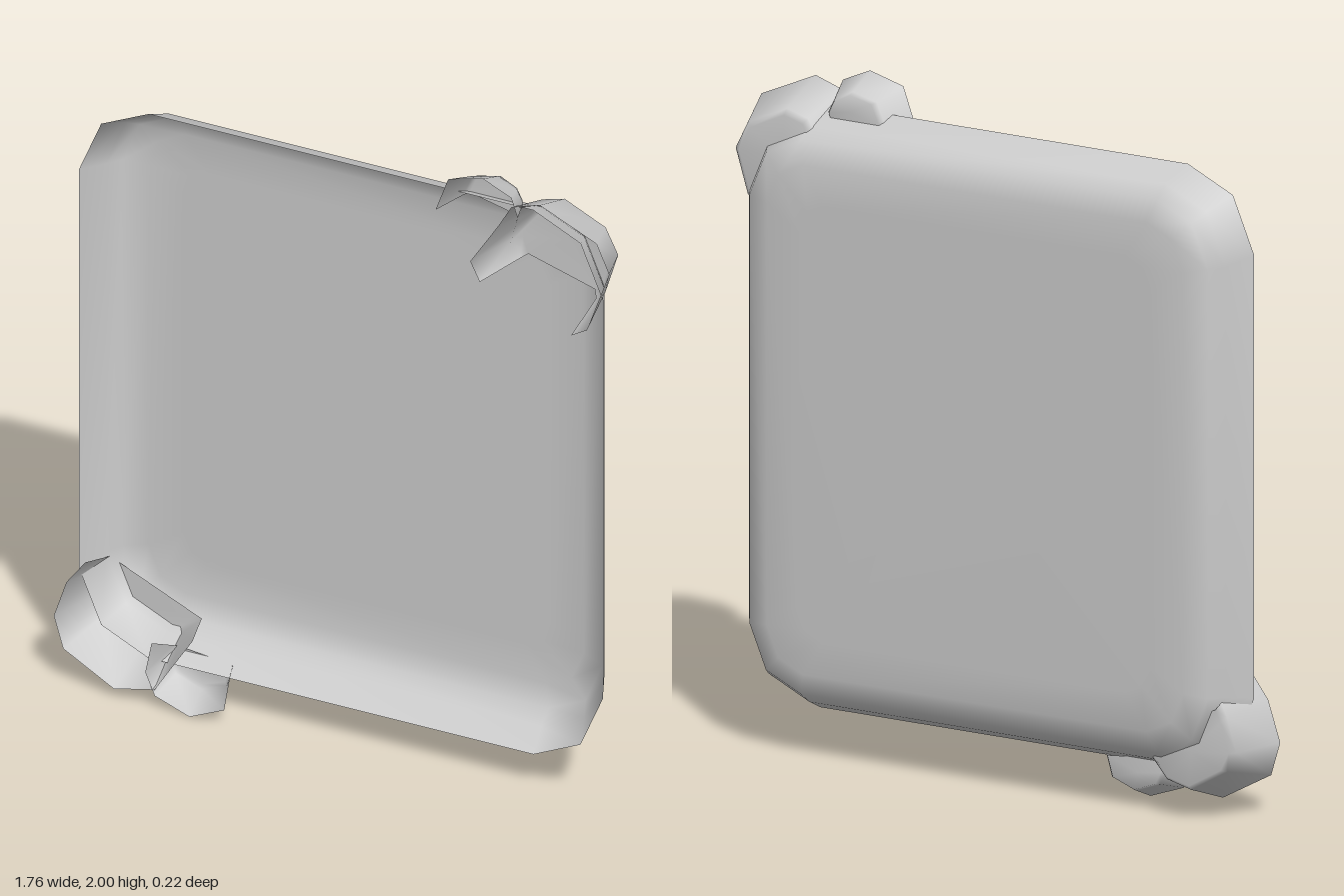
import * as THREE from 'three';

// Lofts rings of [x, y] points (counter-clockwise seen from +z) at given depths, and caps the last ring
function loft(name, rings, depths, closed) {
  const n = rings[0].length, pos = [], idx = [];
  rings.forEach((ring, r) => ring.forEach(([x, y]) => pos.push(x, y, depths[r])));
  for (let r = 0; r < rings.length - 1; r++) {
    for (let i = 0; i < (closed ? n : n - 1); i++) {
      const j = (i + 1) % n, a = r * n, b = a + n;
      idx.push(a + i, b + i, a + j, a + j, b + i, b + j);
    }
  }
  const last = (rings.length - 1) * n, [cx, cy] = centre(rings[rings.length - 1]);
  pos.push(cx, cy, depths[depths.length - 1]);
  for (let i = 0; i < n; i++) idx.push(last + n, last + (i + 1) % n, last + i);
  const geo = new THREE.BufferGeometry();
  geo.setAttribute('position', new THREE.Float32BufferAttribute(pos, 3));
  geo.setIndex(idx);
  geo.computeVertexNormals();
  const mesh = new THREE.Mesh(geo, new THREE.MeshStandardMaterial({ color: 0xcccccc, side: THREE.DoubleSide }));
  mesh.name = name;
  return mesh;
}

function centre(ring) {
  return [0, 1].map(k => ring.reduce((s, p) => s + p[k], 0) / ring.length);
}

const mix = (a, b, t) => a.map((p, i) => [p[0] + (b[i][0] - p[0]) * t, p[1] + (b[i][1] - p[1]) * t]);

// Rectangle ring with two-facet corners, c = corner size
function trayRing(w, h, c) {
  const quarter = [[w, h - c * 1.08], [w - c * 0.32, h - c * 0.32], [w - c, h]];
  const flip = quarter.map(([x, y]) => [-x, y]).reverse();
  const top = [...quarter, ...flip];
  return [...top, ...top.map(([x, y]) => [-x, -y])].map(([x, y]) => [x, y + 1.01]);
}

// Open-sided cup with a softened bottom edge
function cup(name, rim, base, back) {
  const front = 0.11;
  const inner = mix(base, base.map(() => centre(base)), 0.12);
  return loft(name, [rim, base, inner], [front, back + 0.015, back], false);
}

export function createModel() {
  const model = new THREE.Group();

  // Shallow tray, open to the front
  model.add(loft('tray', [
    trayRing(0.83, 0.89, 0.22),
    trayRing(0.79, 0.85, 0.2),
    trayRing(0.76, 0.815, 0.17),
    trayRing(0.69, 0.75, 0.12),
    trayRing(0.58, 0.64, 0.08),
  ], [0.05, -0.04, -0.088, -0.11, -0.113], true));

  // Upper corner ornament
  const upper = new THREE.Group();
  upper.name = 'upperCornerOrnament';
  upper.add(cup('largeCup',
    [[0.76, 1.56], [0.81, 1.59], [0.88, 1.79], [0.84, 1.88], [0.66, 1.96], [0.57, 1.93], [0.53, 1.86], [0.44, 1.72], [0.47, 1.66]],
    [[0.76, 1.6], [0.79, 1.63], [0.83, 1.76], [0.79, 1.84], [0.66, 1.9], [0.59, 1.88], [0.56, 1.83], [0.5, 1.73], [0.52, 1.67]],
    -0.063));
  upper.add(cup('smallCup',
    [[0.56, 1.78], [0.59, 1.9], [0.57, 1.96], [0.48, 2.0], [0.37, 1.97], [0.33, 1.86]],
    [[0.54, 1.83], [0.56, 1.89], [0.54, 1.93], [0.48, 1.96], [0.4, 1.94], [0.37, 1.87]],
    0));
  model.add(upper);

  // Lower corner ornament
  const lower = new THREE.Group();
  lower.name = 'lowerCornerOrnament';
  lower.add(cup('largeCup',
    [[-0.78, 0.42], [-0.84, 0.34], [-0.88, 0.22], [-0.85, 0.12], [-0.69, 0.03], [-0.56, 0.06], [-0.51, 0.14], [-0.44, 0.25]],
    [[-0.78, 0.36], [-0.8, 0.32], [-0.83, 0.22], [-0.8, 0.16], [-0.68, 0.09], [-0.6, 0.11], [-0.55, 0.17], [-0.49, 0.23]],
    -0.063));
  lower.add(cup('smallCup',
    [[-0.57, 0.21], [-0.59, 0.11], [-0.56, 0.04], [-0.45, 0.0], [-0.34, 0.05], [-0.32, 0.17]],
    [[-0.55, 0.16], [-0.56, 0.11], [-0.54, 0.07], [-0.46, 0.04], [-0.38, 0.07], [-0.36, 0.14]],
    0));
  model.add(lower);

  return model;
}
